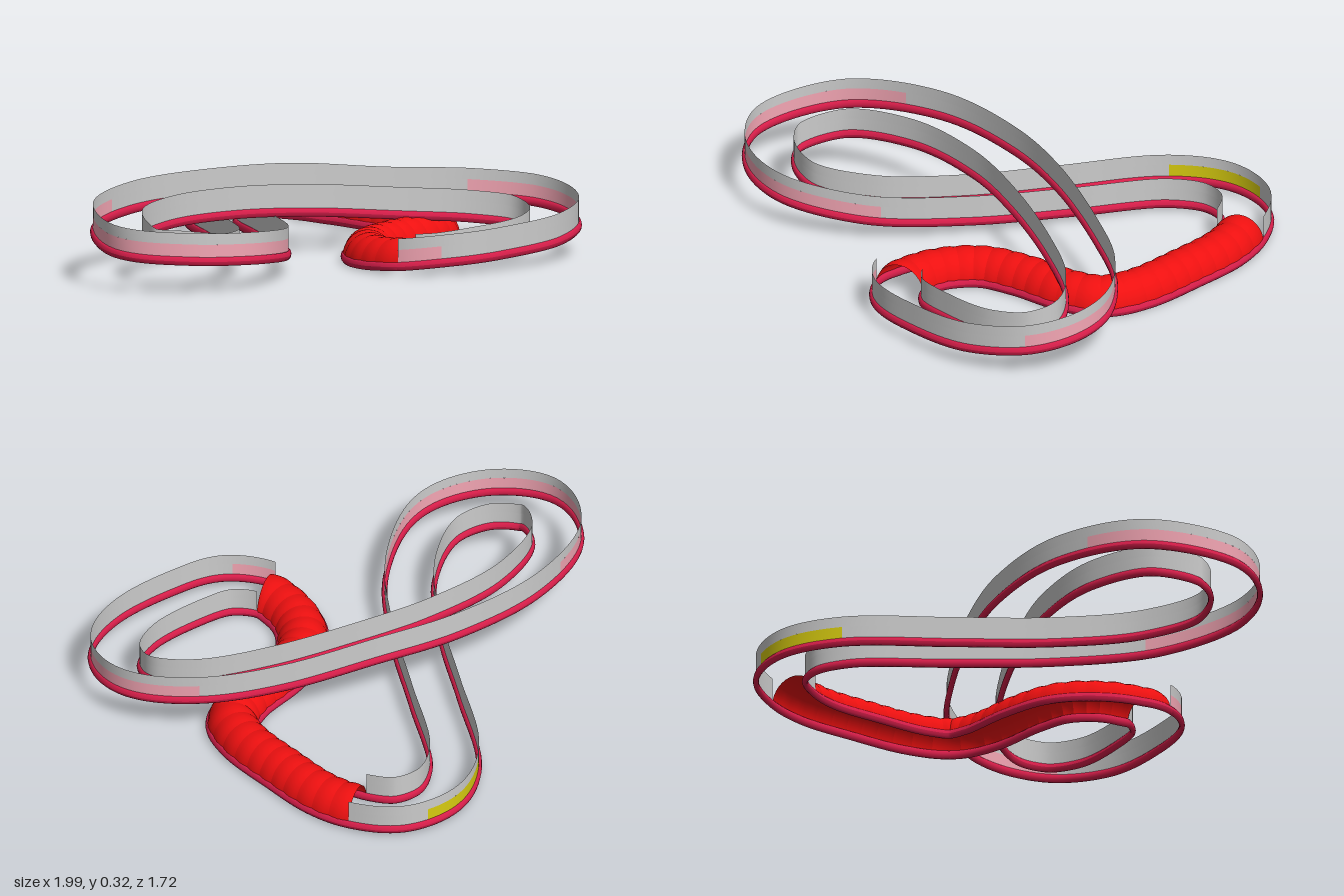
import * as THREE from 'three';

// Centre line of the closed track: x, z, height of left kerb, height of right kerb
const PATH = [
  [0.055, 0.525, 0.005, 0.015], [0.14, 0.65, 0.012, 0.035], [0.32, 0.72, 0.02, 0.045],
  [0.57, 0.755, 0.03, 0.06], [0.76, 0.70, 0.045, 0.085], [0.85, 0.59, 0.06, 0.11],
  [0.865, 0.47, 0.075, 0.13], [0.77, 0.285, 0.09, 0.145], [0.55, 0.09, 0.11, 0.16],
  [0.25, -0.105, 0.14, 0.195], [-0.05, -0.25, 0.155, 0.2], [-0.41, -0.325, 0.155, 0.195],
  [-0.74, -0.25, 0.14, 0.17], [-0.895, -0.04, 0.1, 0.125], [-0.81, 0.14, 0.09, 0.11],
  [-0.62, 0.23, 0.07, 0.095], [-0.34, 0.14, 0.05, 0.06], [-0.065, -0.105, 0.03, 0.035],
  [0.18, -0.39, 0.02, 0.02], [0.45, -0.69, 0.015, 0.012], [0.64, -0.76, 0.015, 0.01],
  [0.8, -0.70, 0.012, 0.01], [0.875, -0.555, 0.005, 0.005], [0.89, -0.4, 0, 0],
  [0.86, -0.2, 0, 0], [0.81, 0.03, 0, 0], [0.74, 0.15, 0, 0], [0.62, 0.19, 0, 0],
  [0.4, 0.19, 0, 0], [0.23, 0.22, 0, 0], [0.11, 0.32, 0, 0], [0.06, 0.43, 0, 0.005],
];
const COUNT = PATH.length;
const HALF_WIDTH = 0.093;
const TUNNEL_START = 22;
const KERB_TOP = 0.035, STRIPE_TOP = 0.082, WALL_TOP = 0.125;

const centre = new THREE.CatmullRomCurve3(PATH.map(([x, z]) => new THREE.Vector3(x, 0, z)), true);
const leftLevel = new THREE.CatmullRomCurve3(PATH.map((p, i) => new THREE.Vector3(i, p[2], 0)), false);
const rightLevel = new THREE.CatmullRomCurve3(PATH.map((p, i) => new THREE.Vector3(i, p[3], 0)), false);

// Position and left-hand direction at path station s (0..COUNT)
function frame(s) {
  const t = (s / COUNT) % 1;
  const p = centre.getPoint(t), d = centre.getTangent(t);
  const level = (curve, k) => (s >= COUNT - 1
    ? THREE.MathUtils.lerp(PATH[COUNT - 1][k], PATH[0][k], s - COUNT + 1)
    : Math.max(0, curve.getPoint(s / (COUNT - 1)).y));
  return { p, left: new THREE.Vector3(d.z, 0, -d.x), yl: level(leftLevel, 2), yr: level(rightLevel, 3) };
}

// Skin a list of equal-length cross-sections
function loft(sections) {
  const n = sections[0].length, index = [];
  for (let i = 0; i < sections.length - 1; i++) {
    for (let j = 0; j < n - 1; j++) {
      const a = i * n + j, b = a + n;
      index.push(a, b, a + 1, b, b + 1, a + 1);
    }
  }
  const geometry = new THREE.BufferGeometry().setFromPoints(sections.flat());
  geometry.setIndex(index);
  geometry.computeVertexNormals();
  return geometry;
}

// Sweep a profile of [outward, up] pairs along one edge; side is +1 left, -1 right
function edgeStrip(profile, from, to, side) {
  const steps = Math.ceil((to - from) * 10), sections = [];
  for (let i = 0; i <= steps; i++) {
    const { p, left, yl, yr } = frame(from + (to - from) * i / steps);
    const y = side > 0 ? yl : yr;
    sections.push(profile.map(([o, u]) =>
      p.clone().addScaledVector(left, side * (HALF_WIDTH + o)).setY(y + u)));
  }
  return loft(sections);
}

export function createModel() {
  const group = new THREE.Group();
  const paint = (color) => new THREE.MeshStandardMaterial({ color, side: THREE.DoubleSide });
  const kerbRed = paint(0xd81e4a), tunnelRed = paint(0xee1010), grey = paint(0xcccccc);
  const pink = paint(0xf4a6b4), yellow = paint(0xd8cc10);
  const add = (name, geometry, material, parent = group) => {
    const mesh = new THREE.Mesh(geometry, material);
    mesh.name = name;
    parent.add(mesh);
  };

  // Rounded kerbs all the way round
  const kerbProfile = [];
  for (let i = 0; i <= 10; i++) {
    const a = i / 10 * Math.PI * 2;
    kerbProfile.push([0.011 * Math.cos(a), KERB_TOP / 2 * (1 + Math.sin(a))]);
  }
  add('leftKerb', edgeStrip(kerbProfile, 0, COUNT, 1), kerbRed);
  add('rightKerb', edgeStrip(kerbProfile, 0, COUNT, -1), kerbRed);

  // Thin walls on the open part, with coloured lower stripes on the outer bends
  const lower = [[0, KERB_TOP - 0.006], [0, STRIPE_TOP]];
  const upper = [[0, STRIPE_TOP], [0, WALL_TOP]];
  const bands = {
    left: [[0, 19, grey], [19, 20.6, yellow], [20.6, TUNNEL_START, grey]],
    right: [[0, 0.8, pink], [0.8, 4, grey], [4, 7, pink], [7, 11.4, grey],
      [11.4, 16.1, pink], [16.1, TUNNEL_START, grey]],
  };
  for (const [name, side] of [['left', 1], ['right', -1]]) {
    add(name + 'WallTop', edgeStrip(upper, 0, TUNNEL_START, side), grey);
    for (const [from, to, material] of bands[name]) {
      add(name + (material === grey ? 'WallBase' : 'WallStripe'), edgeStrip(lower, from, to, side), material);
    }
  }

  // Ribbed half-round tunnel made of equal, slightly bulged segments
  const tunnel = new THREE.Group();
  tunnel.name = 'tunnel';
  group.add(tunnel);
  const lengths = centre.getLengths(COUNT * 50);
  const startU = lengths[TUNNEL_START * 50] / lengths[COUNT * 50];
  const SEGMENTS = 24, SLICES = 4;
  for (let k = 0; k < SEGMENTS; k++) {
    const sections = [];
    for (let i = 0; i <= SLICES; i++) {
      const u = startU + (1 - startU) * (k + i / SLICES) / SEGMENTS;
      const s = u > 0.99999 ? COUNT : centre.getUtoTmapping(u) * COUNT;
      const { p, left, yl, yr } = frame(s);
      const r = 0.095 + 0.004 * Math.sin(i / SLICES * Math.PI);
      const ring = [];
      for (let j = 0; j <= 16; j++) {
        const a = j / 16 * Math.PI, c = Math.cos(a);
        ring.push(p.clone().addScaledVector(left, r * c)
          .setY(0.012 + (yl + yr) / 2 + (yl - yr) / 2 * c + r * 1.1 * Math.sin(a)));
      }
      sections.push(ring);
    }
    add('tunnelSegment', loft(sections), tunnelRed, tunnel);
  }
  return group;
}
